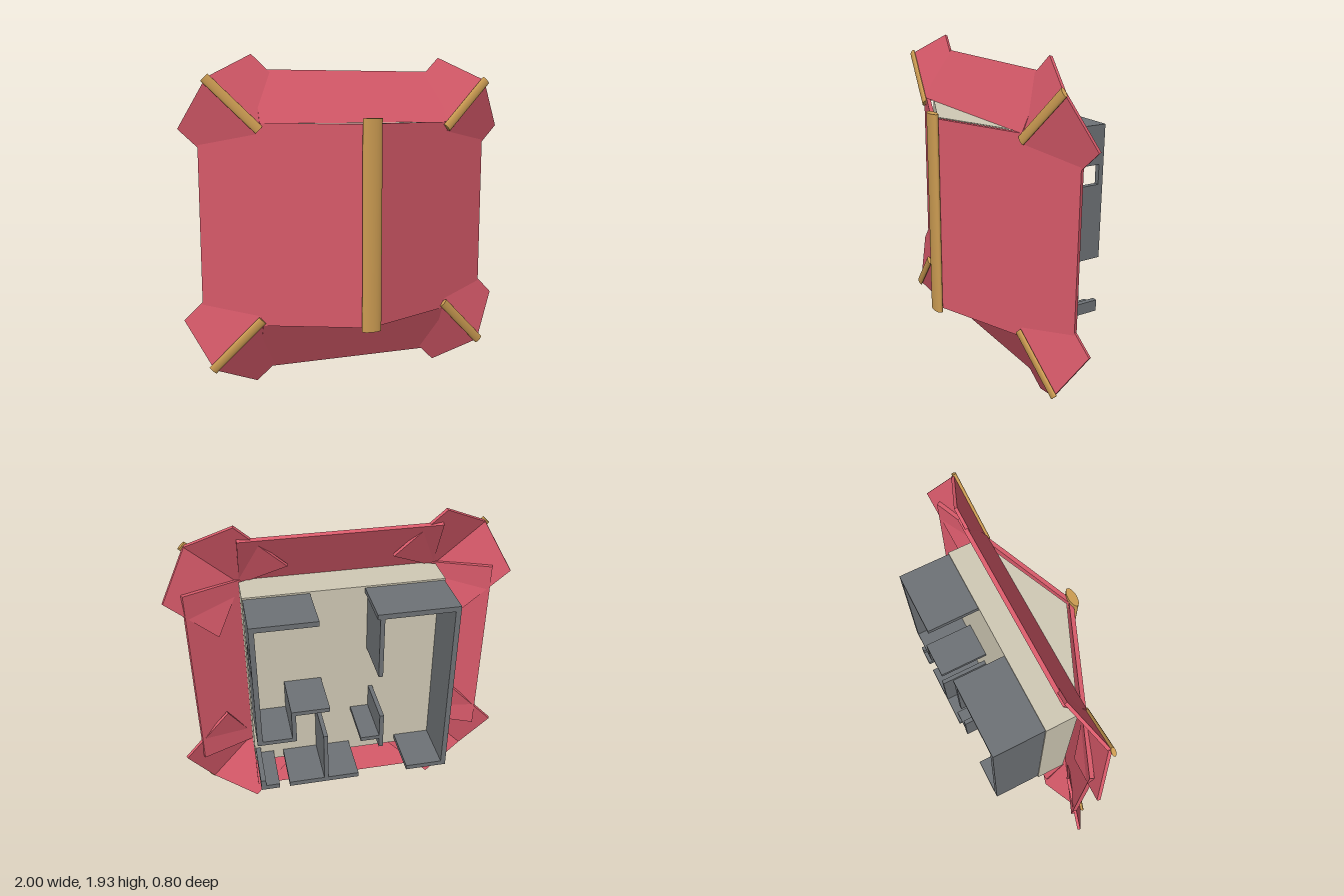
import * as THREE from 'three';

const roofRed = new THREE.MeshStandardMaterial({ color: 0xd85a6a, name: 'roofRed' });
const trimGold = new THREE.MeshStandardMaterial({ color: 0xcc9c52, name: 'trimGold' });
const ceilingBeige = new THREE.MeshStandardMaterial({ color: 0xd0c9b5, name: 'ceilingBeige' });
const wallGray = new THREE.MeshStandardMaterial({ color: 0x6e7276, name: 'wallGray' });

const MID_Y = 0.98; // the roof is mirrored about this height

export function createModel() {
  const model = new THREE.Group();
  model.name = 'house';

  const add = (name, geometry, material) => {
    const mesh = new THREE.Mesh(geometry, material);
    mesh.name = name;
    model.add(mesh);
    return mesh;
  };

  // Four-cornered slab whose outer face looks toward +z
  const plate = (corners, thickness) => {
    let p = corners.map((c) => new THREE.Vector3(...c));
    const normal = (q) => q[1].clone().sub(q[0]).cross(q[3].clone().sub(q[0])).normalize();
    if (normal(p).z < 0) p = p.reverse();
    const n = normal(p);
    const b = p.map((v) => v.clone().addScaledVector(n, -thickness));
    const faces = [[p[0], p[1], p[2], p[3]], [b[3], b[2], b[1], b[0]]];
    for (let i = 0; i < 4; i++) {
      const j = (i + 1) % 4;
      faces.push([p[j], p[i], b[i], b[j]]);
    }
    const points = faces.flatMap(([a, c, d, e]) => [a, c, d, a, d, e]);
    const geometry = new THREE.BufferGeometry().setFromPoints(points);
    geometry.computeVertexNormals();
    return geometry;
  };

  // Flattened round bar between two points, wide across the roof
  const bar = (name, from, to, halfWidth, halfDepth) => {
    const a = new THREE.Vector3(...from), b = new THREE.Vector3(...to);
    const along = b.clone().sub(a);
    const geometry = new THREE.CylinderGeometry(1, 1, along.length(), 24);
    geometry.scale(halfWidth, 1, halfDepth);
    const y = along.clone().normalize();
    const x = y.clone().cross(new THREE.Vector3(0, 0, 1)).normalize();
    const z = x.clone().cross(y);
    const mesh = add(name, geometry, trimGold);
    mesh.quaternion.setFromRotationMatrix(new THREE.Matrix4().makeBasis(x, y, z));
    mesh.position.copy(a).add(b).multiplyScalar(0.5);
  };

  // Ceiling slab with the gable block beneath the roof
  const gable = new THREE.Shape([
    new THREE.Vector2(-0.575, 0.1), new THREE.Vector2(0.575, 0.1),
    new THREE.Vector2(0.575, -0.085), new THREE.Vector2(0, -0.335),
    new THREE.Vector2(-0.575, -0.085),
  ]);
  const gableGeometry = new THREE.ExtrudeGeometry(gable, { depth: 1.17, bevelEnabled: false });
  gableGeometry.rotateX(-Math.PI / 2);
  add('ceilingAndGable', gableGeometry, ceilingBeige).position.y = 0.39;

  // Roof slopes on both sides of the ridge
  for (const s of [-1, 1]) {
    add('roofSlope', plate([
      [0, 0.4, 0.375], [s * 0.895, 0.4, 0], [s * 0.895, 1.56, 0], [0, 1.56, 0.375],
    ], 0.024), roofRed);
  }

  // End skirts, and flared plates with a gold bar at each corner
  for (const t of [-1, 1]) {
    const y = (h) => MID_Y + t * (h - MID_Y);
    add('roofSkirt', plate([
      [-0.57, y(1.56), 0.14], [0.57, y(1.56), 0.14],
      [0.57, y(1.86), 0], [-0.57, y(1.86), 0],
    ], 0.024), roofRed);

    for (const s of [-1, 1]) {
      const inner = [s * 0.57, y(1.535), 0.142];
      const outer = [s * 0.85, y(1.81), 0.09];
      for (const tip of [[s * 0.58, y(1.945), -0.012], [s * 1, y(1.53), -0.022]]) {
        const hidden = tip.map((v, i) => v + inner[i] - outer[i]);
        add('cornerFlare', plate([inner, outer, tip, hidden], 0.018), roofRed);
      }
      bar('hipBar', [s * 0.575, y(1.525), 0.145], [s * 0.86, y(1.81), 0.092], 0.028, 0.012);
    }
  }
  bar('ridgeBar', [0.01, 0.38, 0.372], [0.01, 1.59, 0.372], 0.058, 0.024);

  // Walls as [x1, x2, y1, y2], all of the same depth
  const walls = [
    [0.2, 0.57, 1.52, 1.55],      // upper outer walls
    [-0.57, -0.11, 1.52, 1.55],
    [-0.57, -0.54, 0.42, 1.52],   // long outer wall
    [-0.54, -0.32, 0.42, 0.45],   // lower outer walls
    [-0.02, 0.4, 0.42, 0.45],
    [0.46, 0.57, 0.42, 0.45],
    [0.54, 0.57, 0.45, 0.49],
    [0.37, 0.54, 0.765, 0.79],    // stepped inner walls
    [0.345, 0.37, 0.765, 0.95],
    [0.15, 0.37, 0.95, 0.975],
    [-0.15, -0.125, 1.15, 1.52],  // inner partitions
    [0.165, 0.19, 0.45, 0.77],
    [-0.165, -0.14, 0.64, 0.87],
    [-0.14, -0.03, 0.7, 0.725],
  ];
  for (const [x1, x2, y1, y2] of walls) {
    add('wall', new THREE.BoxGeometry(x2 - x1, y2 - y1, 0.3), wallGray)
      .position.set((x1 + x2) / 2, (y1 + y2) / 2, -0.25);
  }

  // Outer wall with a window opening
  const rect = (Type, z1, z2, y1, y2) => new Type([
    new THREE.Vector2(-z1, y1), new THREE.Vector2(-z2, y1),
    new THREE.Vector2(-z2, y2), new THREE.Vector2(-z1, y2),
  ]);
  const windowWall = rect(THREE.Shape, -0.1, -0.4, 0.765, 1.52);
  windowWall.holes.push(rect(THREE.Path, -0.17, -0.37, 1.21, 1.325));
  const windowGeometry = new THREE.ExtrudeGeometry(windowWall, { depth: 0.03, bevelEnabled: false });
  windowGeometry.rotateY(Math.PI / 2);
  add('windowWall', windowGeometry, wallGray).position.x = 0.54;

  return model;
}
